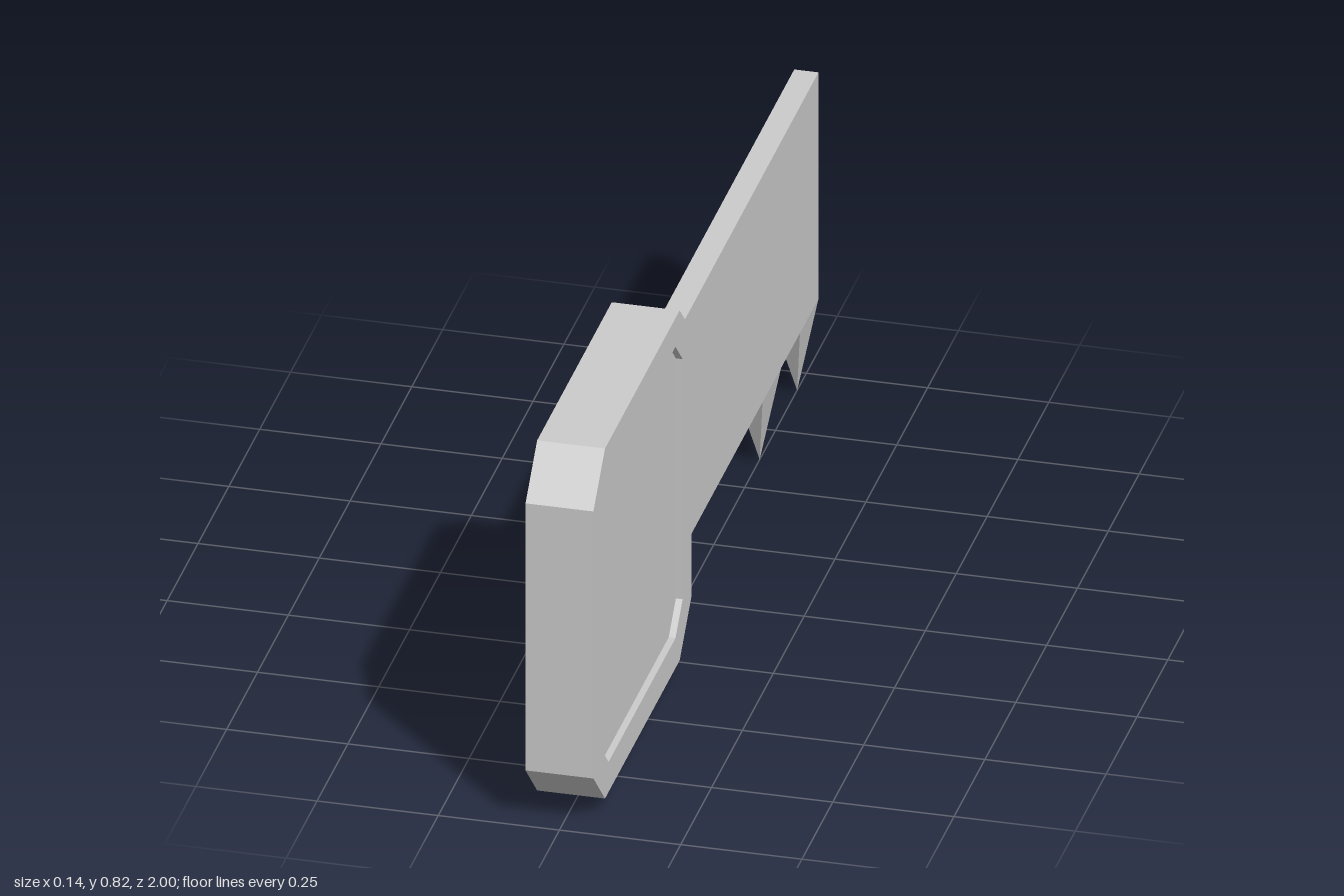
import * as THREE from 'three';

const material = new THREE.MeshStandardMaterial({ color: 0xcccccc, flatShading: true });

// Rectangle with cut corners, traced counter-clockwise; u runs along z, v along y
function cutCornerPoints(u0, u1, v0, v1, c) {
  return [
    [u0 + c, v0], [u1 - c, v0], [u1, v0 + c], [u1, v1 - c],
    [u1 - c, v1], [u0 + c, v1], [u0, v1 - c], [u0, v0 + c],
  ].map(([u, v]) => new THREE.Vector2(u, v));
}

// Extrude a z-y outline across x, centred on x = 0
function slab(name, shape, thickness) {
  const geometry = new THREE.ExtrudeGeometry(shape, { depth: thickness, bevelEnabled: false });
  geometry.translate(0, 0, -thickness / 2);
  geometry.rotateY(-Math.PI / 2);
  const mesh = new THREE.Mesh(geometry, material);
  mesh.name = name;
  return mesh;
}

export function createModel() {
  const model = new THREE.Group();
  model.name = 'key';

  // Handle: a thick cut-corner frame around a slightly sunken panel
  const inner = cutCornerPoints(0.277, 0.935, 0.1, 0.76, 0.058);
  const frameShape = new THREE.Shape(cutCornerPoints(0.207, 1, 0.032, 0.825, 0.094));
  frameShape.holes.push(new THREE.Path(inner));
  model.add(slab('handleFrame', frameShape, 0.14));
  model.add(slab('handlePanel', new THREE.Shape(inner), 0.112));

  // Flat blade running back from the handle
  const bottom = 0.172, top = 0.685, front = 0.207, back = -1;
  const blade = new THREE.Mesh(new THREE.BoxGeometry(0.05, top - bottom, front - back), material);
  blade.name = 'blade';
  blade.position.set(0, (top + bottom) / 2, (front + back) / 2);
  model.add(blade);

  // Teeth: four-sided spikes pointing down from the blade
  const toothGeometry = new THREE.CylinderGeometry(Math.SQRT1_2, 0, bottom, 4, 1, true);
  toothGeometry.rotateY(Math.PI / 4);
  toothGeometry.scale(0.05, 1, 0.15);
  [-0.622, -0.925].forEach((z, i) => {
    const tooth = new THREE.Mesh(toothGeometry, material);
    tooth.name = `tooth${i + 1}`;
    tooth.position.set(0, bottom / 2, z);
    model.add(tooth);
  });

  return model;
}
